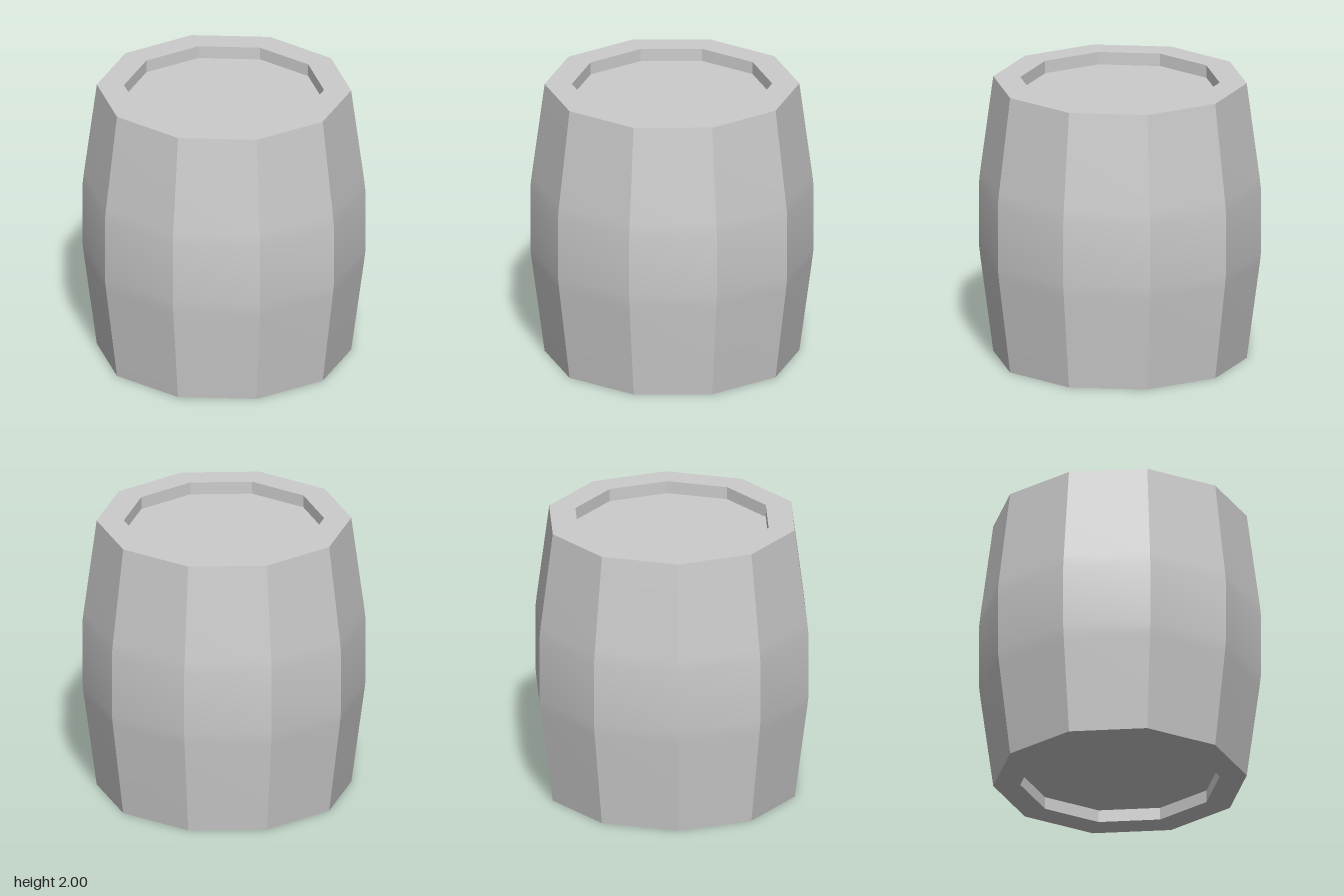
import * as THREE from 'three';
import { toCreasedNormals } from 'three/addons/utils/BufferGeometryUtils.js';

const SIDES = 10;
const HEIGHT = 2;
const RECESS = 0.09;

export function createModel() {
  const group = new THREE.Group();
  group.name = 'barrel';
  const material = new THREE.MeshStandardMaterial({ color: 0xcccccc });

  // Revolve a [radius, y] profile with a corner on the x axis; only the sharp edges stay hard
  const addPart = (name, profile) => {
    const points = profile.map(([r, y]) => new THREE.Vector2(r, y));
    const lathe = new THREE.LatheGeometry(points, SIDES, Math.PI / 2);
    const mesh = new THREE.Mesh(toCreasedNormals(lathe, Math.PI / 9), material);
    mesh.name = name;
    group.add(mesh);
  };

  // Bulging staves, with softened bends above and below the middle band
  const lower = [[0.89, 0], [0.98, 0.68], [0.99, 0.77]];
  const upper = lower.map(([r, y]) => [r, HEIGHT - y]).reverse();
  addPart('staves', [...lower, ...upper]);

  // Ends: flat rim, short inner wall and sunken lid
  const bottomEnd = [[0, RECESS], [0.7, RECESS], [0.7, 0], [0.89, 0]];
  const topEnd = bottomEnd.map(([r, y]) => [r, HEIGHT - y]).reverse();
  addPart('bottomEnd', bottomEnd);
  addPart('topEnd', topEnd);

  return group;
}
